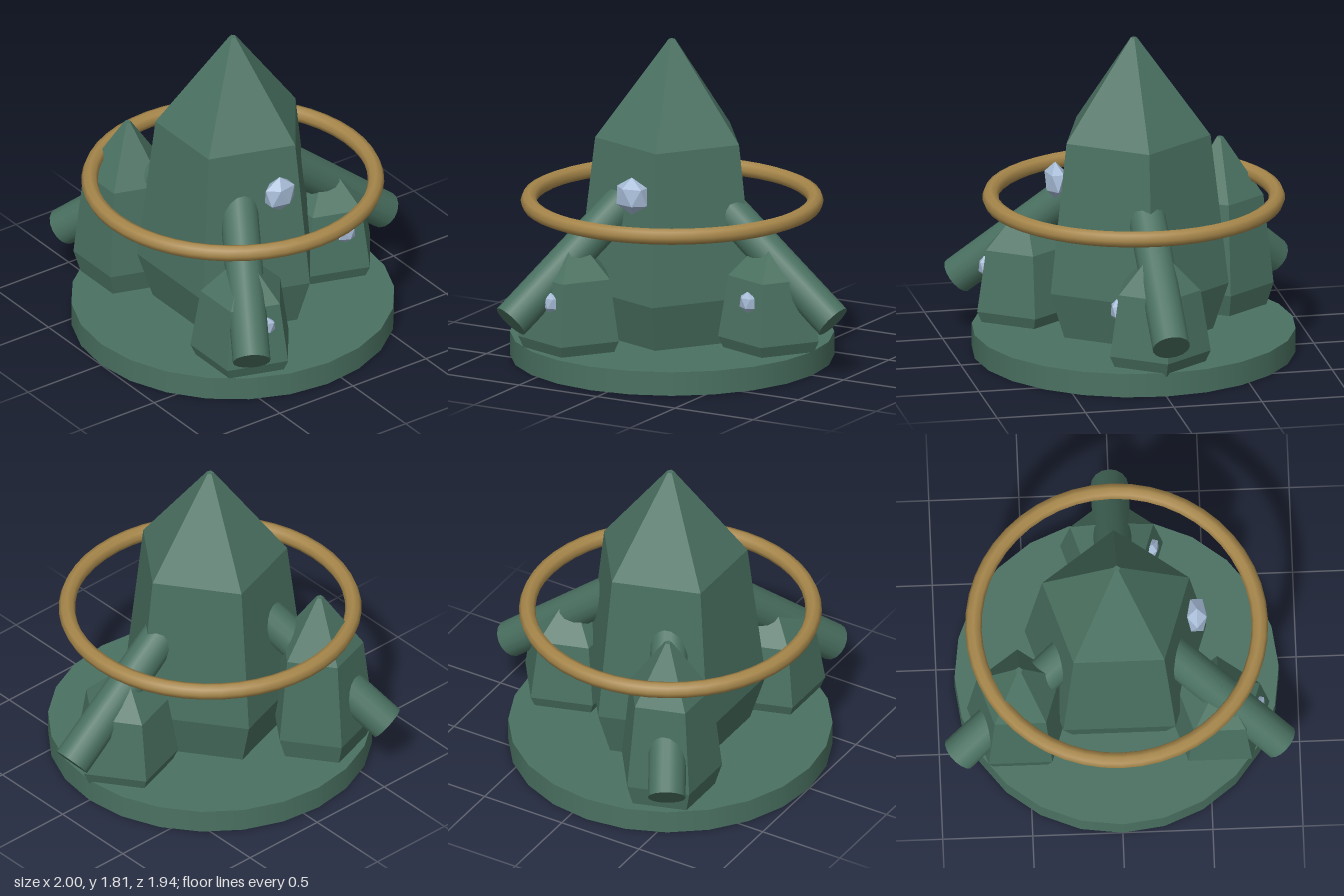
import * as THREE from 'three';

const mat = (name, color) => {
  const m = new THREE.MeshStandardMaterial({ color });
  m.name = name;
  return m;
};

export function createModel() {
  const model = new THREE.Group();
  model.name = 'crystalSpire';
  const green = mat('mossGreen', 0x4a7161);
  const gold = mat('agedGold', 0xa6864a);
  const ice = mat('paleIce', 0xa8bdd8);

  // Everything is arranged around the axis of the base
  const body = new THREE.Group();
  body.name = 'body';
  body.position.x = -0.1;
  model.add(body);

  const add = (name, geometry, material, x, y, z) => {
    const mesh = new THREE.Mesh(geometry, material);
    mesh.name = name;
    mesh.position.set(x, y, z);
    body.add(mesh);
    return mesh;
  };
  const faceted = (geometry) => {
    const g = geometry.index ? geometry.toNonIndexed() : geometry;
    g.computeVertexNormals();
    return g;
  };

  // Five-sided crystal: narrow foot, wide waist, shoulder and pointed tip
  const foot = 0.06;
  const crystal = (radius, top) => {
    const h = top - foot;
    const profile = [
      [0, 0], [radius * 0.79, 0], [radius, h * 0.195], [radius * 0.81, h * 0.685], [0.02, h], [0, h],
    ].map(([r, y]) => new THREE.Vector2(r, y));
    return faceted(new THREE.LatheGeometry(profile, 5, Math.PI / 2));
  };

  // Flattened icosahedron gem with one corner pointing up
  const gem = (name, r, x, y, z, turn) => {
    const g = new THREE.IcosahedronGeometry(r, 0);
    g.rotateZ(Math.atan2(0.5257, 0.8507));
    g.scale(1, 1, 0.6);
    g.computeVertexNormals();
    add(name, g, ice, x, y, z).rotation.y = turn;
  };

  add('base', new THREE.CylinderGeometry(0.9, 0.9, 0.135, 24), green, 0, 0.0675, 0);
  add('mainCrystal', crystal(0.53, 1.81), green, 0, foot, 0);

  // Three side crystals, each with an arm sloping down over it
  const up = new THREE.Vector3(0, 1, 0);
  const tops = [0.77, 0.77, 1.1];
  tops.forEach((top, i) => {
    const a = (i * Math.PI * 2) / 3;
    const c = Math.cos(a), s = Math.sin(a);
    add('sideCrystal' + (i + 1), crystal(0.3, top), green, 0.64 * c, foot, 0.64 * s);

    const inner = new THREE.Vector3(0.25 * c, 0.97, 0.25 * s);
    const outer = new THREE.Vector3(1.032 * c, 0.325, 1.032 * s);
    const dir = outer.clone().sub(inner);
    const mid = inner.clone().add(outer).multiplyScalar(0.5);
    const arm = add('arm' + (i + 1), new THREE.CylinderGeometry(0.105, 0.105, dir.length(), 16),
      green, mid.x, mid.y, mid.z);
    arm.quaternion.setFromUnitVectors(up, dir.normalize());
  });

  // Gold ring around the main crystal
  const ring = new THREE.TorusGeometry(0.795, 0.046, 8, 48);
  ring.rotateX(Math.PI / 2);
  add('ring', ring, gold, 0, 0.885, 0);

  // Gems set into the front faces
  gem('mainGem', 0.107, 0, 1.01, 0.445, 0);
  gem('rightGem', 0.062, -0.335, 0.43, 0.775, -0.31);
  gem('leftGem', 0.062, 0.613, 0.43, 0.222, -0.31);

  return model;
}
